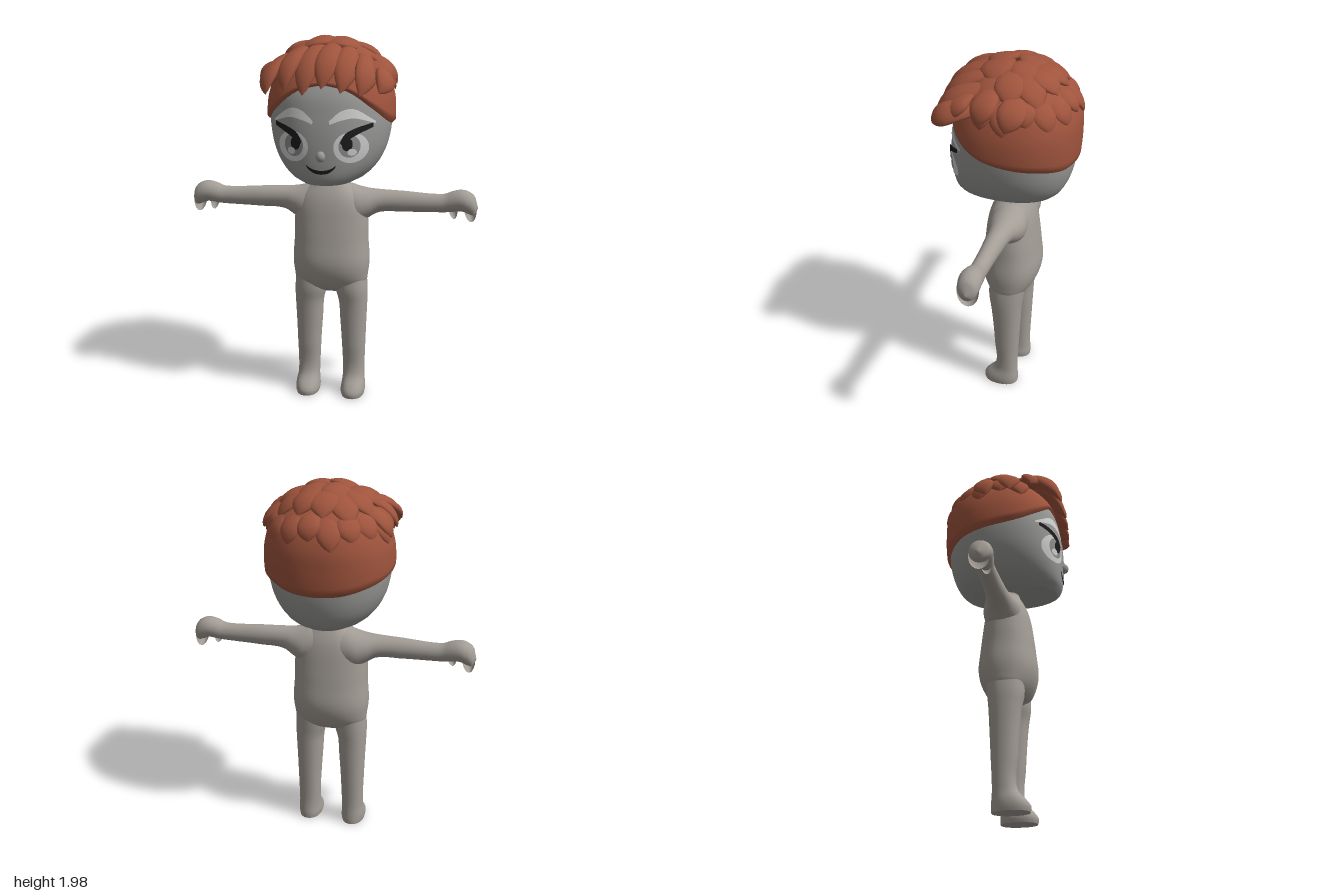
import * as THREE from 'three';

const V = (x, y, z) => new THREE.Vector3(x, y, z);
const paint = (name, color, side = THREE.FrontSide) => {
  const m = new THREE.MeshStandardMaterial({ color, side });
  m.name = name;
  return m;
};

// Skin a list of point rings (counter-clockwise about the direction of travel), capped at both ends
function loft(rings) {
  const n = rings[0].length, pos = [], idx = [];
  rings.forEach(r => r.forEach(p => pos.push(p.x, p.y, p.z)));
  for (let i = 0; i < rings.length - 1; i++) for (let j = 0; j < n; j++) {
    const a = i * n + j, b = i * n + (j + 1) % n;
    idx.push(a, b, a + n, b, b + n, a + n);
  }
  [rings[0], rings[rings.length - 1]].forEach((r, end) => {
    const base = pos.length / 3, c = V(0, 0, 0);
    r.forEach(p => { pos.push(p.x, p.y, p.z); c.addScaledVector(p, 1 / n); });
    pos.push(c.x, c.y, c.z);
    for (let j = 0; j < n; j++) {
      const k = (j + 1) % n;
      idx.push(base + n, base + (end ? j : k), base + (end ? k : j));
    }
  });
  const g = new THREE.BufferGeometry();
  g.setAttribute('position', new THREE.Float32BufferAttribute(pos, 3));
  g.setIndex(idx);
  g.computeVertexNormals();
  return g;
}
const mirrored = rings => rings.map(r => r.map(p => V(-p.x, p.y, p.z)).reverse());

// Smooth lookup in a table whose first column is the position
function smooth(table) {
  const f = new THREE.CubicInterpolant(table.map(r => r[0]), table.flatMap(r => r.slice(1)), table[0].length - 1);
  return t => Array.from(f.evaluate(t));
}
const pw = (v, e) => Math.sign(v) * Math.abs(v) ** e;
// Horizontal rounded ring between the given x and z limits
function yRing(y, x0, x1, zF, zB, n = 2.2, seg = 40) {
  return Array.from({ length: seg }, (_, i) => {
    const a = i / seg * Math.PI * 2;
    return V((x0 + x1) / 2 + (x1 - x0) / 2 * pw(Math.sin(a), 2 / n), y, (zF + zB) / 2 + (zF - zB) / 2 * pw(Math.cos(a), 2 / n));
  });
}
const range = (a, b, n) => Array.from({ length: n + 1 }, (_, i) => a + (b - a) * i / n);

// Height, half width, front z, back z
const HEAD_N = 2.25;
const headAt = smooth([
  [1.245, .14, .27, -.2], [1.27, .19, .292, -.245], [1.32, .243, .304, -.285], [1.4, .288, .31, -.315],
  [1.5, .313, .31, -.33], [1.6, .32, .3, -.335], [1.7, .308, .28, -.33], [1.8, .265, .225, -.29],
  [1.87, .195, .15, -.22], [1.91, .11, .07, -.13], [1.925, .01, 0, -.02]]);
function faceZ(x, y) {
  const [rx, f, b] = headAt(y);
  return (f + b) / 2 + (f - b) / 2 * Math.max(0, 1 - (Math.abs(x) / rx) ** HEAD_N) ** (1 / HEAD_N);
}

// Thin painted patch that follows the face; f maps u,v to x,y
function decal(f, lift, nu = 28, nv = 5) {
  const g = new THREE.PlaneGeometry(1, 1, nu, nv), p = g.attributes.position;
  for (let i = 0; i < p.count; i++) {
    const [x, y] = f(p.getX(i) + .5, p.getY(i) + .5);
    p.setXYZ(i, x, y, faceZ(x, y) + lift);
  }
  g.computeVertexNormals();
  return g;
}
const disc = (cx, cy, rx, ry) => (u, v) => [cx + rx * v * Math.cos(u * 2 * Math.PI), cy + ry * v * Math.sin(u * 2 * Math.PI)];
function band(upper, lower, s = 1) {
  const [a, b] = [upper, lower].map(l => new THREE.SplineCurve(l.map(q => new THREE.Vector2(...q))));
  return (u, v) => {
    const p = b.getPoint(u).lerp(a.getPoint(u), v);
    return [p.x * s, p.y];
  };
}

// Plump leaf-shaped lock of hair from root to tip, arched away from the head
const HAIR = V(0, 1.6, -.01);
function lock(root, tip, width, thick, arch) {
  const mid = root.clone().lerp(tip, .5);
  mid.addScaledVector(mid.clone().sub(HAIR).normalize(), arch);
  const curve = new THREE.QuadraticBezierCurve3(root, mid, tip);
  return loft(range(0, 1, 11).map(t => {
    const p = curve.getPoint(t), T = curve.getTangent(t);
    const N = p.clone().sub(HAIR);
    N.addScaledVector(T, -N.dot(T)).normalize();
    const S = N.clone().cross(T);
    const k = t < .55 ? .55 + .45 * Math.sin(t / .55 * Math.PI / 2) : Math.max(0, Math.cos((t - .55) / .45 * Math.PI / 2)) ** .75;
    return range(0, 2 * Math.PI, 12).slice(0, 12).map(a =>
      p.clone().addScaledVector(S, Math.cos(a) * width * k).addScaledVector(N, Math.sin(a) * thick * k));
  }));
}
// Points on the hair dome, by compass angle and tilt, or by x and z
function dome(deg, tilt, lift) {
  const a = deg * Math.PI / 180, t = tilt * Math.PI / 180;
  return V(Math.sin(t) * Math.sin(a) * (.325 + lift), Math.cos(t) * (.345 + lift), Math.sin(t) * Math.cos(a) * (.335 + lift)).add(HAIR);
}
const onTop = (x, z, lift) => V(x, 1.6 + lift + .345 * Math.sqrt(Math.max(0, 1 - (x / .335) ** 2 - (z / .35) ** 2)), z);

export function createModel() {
  const model = new THREE.Group();
  const skin = paint('body grey', 0xa39d96), face = paint('head grey', 0x989896), hair = paint('hair auburn', 0x9f543d);
  const white = paint('eye white', 0xd2d2d2, THREE.DoubleSide), iris = paint('iris grey', 0x8f8f8d, THREE.DoubleSide);
  const black = paint('lash black', 0x1c1c1c, THREE.DoubleSide);
  const add = (name, geo, mat, parent = model) => {
    const m = new THREE.Mesh(geo, mat);
    m.name = name;
    parent.add(m);
    return m;
  };
  const pair = (name, rings, mat) => {
    add('left' + name, loft(rings), mat);
    add('right' + name, loft(mirrored(rings)), mat);
  };

  // Torso and neck
  const torso = smooth([[.605, .07, .04], [.63, .15, .085], [.66, .19, .112], [.71, .202, .14], [.78, .209, .156], [.9, .202, .147],
    [1, .2, .135], [1.1, .19, .12], [1.15, .165, .106], [1.2, .11, .082], [1.23, .08, .065], [1.28, .07, .06]]);
  add('torso', loft(range(.605, 1.28, 36).map(y => {
    const [x, z] = torso(y);
    return yRing(y, -x, x, z, -z, 2.3);
  })), skin);

  // Legs with feet: height, inner x, outer x, front z, back z
  const leg = smooth([[.005, .066, .19, .128, -.064], [.03, .06, .195, .134, -.066], [.065, .064, .194, .112, -.064], [.1, .067, .188, .077, -.062],
    [.14, .067, .187, .061, -.062], [.3, .06, .191, .068, -.07], [.45, .05, .196, .078, -.078], [.55, .043, .2, .088, -.084],
    [.62, .025, .201, .1, -.092], [.7, .02, .195, .1, -.1]]);
  pair('Leg', range(.005, .7, 44).map(y => yRing(y, ...leg(y))), skin);

  // Arms with palms: x, top, bottom, half depth
  const arm = smooth([[0, 1.215, .98, .09], [.1, 1.207, .98, .1], [.15, 1.192, .99, .1], [.2, 1.182, 1.02, .085], [.25, 1.178, 1.05, .066],
    [.4, 1.172, 1.06, .05], [.55, 1.163, 1.064, .044], [.61, 1.166, 1.066, .045], [.65, 1.182, 1.07, .052], [.7, 1.19, 1.075, .058],
    [.74, 1.178, 1.06, .054], [.77, 1.146, 1.06, .038], [.782, 1.1, 1.09, .004]]);
  const tubeRing = (c, rx, ry, rz) => range(0, 2 * Math.PI, 28).slice(0, 28).map(a => V(c.x + rx * Math.cos(a), c.y + ry * Math.cos(a), c.z + rz * Math.sin(a)));
  pair('Arm', range(0, .782, 56).map(x => {
    const [t, b, z] = arm(x);
    return tubeRing(V(x, (t + b) / 2, -.012), 0, (t - b) / 2, z);
  }), skin);

  // Drooping fingers and thumb: tapered ovals along a short path
  const digit = (a, b, w, d) => range(0, 1, 14).map(t => {
    const k = Math.sqrt(Math.max(0, 1 - (2 * t - 1) ** 2));
    const c = a.clone().lerp(b, .5 - .5 * Math.cos(t * Math.PI));
    const s = Math.max(.02, Math.sin(t * Math.PI));
    return tubeRing(c, -w * s, 0, d * Math.max(s, k * .02));
  });
  pair('Fingers', digit(V(.735, 1.175, -.012), V(.75, 1.018, -.012), .034, .055), skin);
  pair('Thumb', digit(V(.645, 1.155, .005), V(.66, 1.036, .008), .024, .028), skin);

  // Head and nose
  add('head', loft(range(0, Math.PI / 2, 44).map(v => {
    const y = 1.245 + .68 * Math.sin(v), [x, f, b] = headAt(y);
    return yRing(y, -x, x, f, b, HEAD_N, 64);
  })), face);
  const nose = add('nose', new THREE.SphereGeometry(.024, 20, 14), face);
  nose.scale.set(1, 1.15, 1);
  nose.position.set(0, 1.402, .315);

  // Painted face
  for (const [side, s] of [['left', 1], ['right', -1]]) {
    add(side + 'EyeWhite', decal(disc(s * .148, 1.447, .084, .078), .003), white);
    add(side + 'Iris', decal(disc(s * .142, 1.455, .052, .058), .005), iris);
    add(side + 'EyeGlint', decal(disc(s * .155, 1.425, .022, .018), .007), white);
    add(side + 'Pupil', decal(disc(s * .132, 1.465, .026, .034), .007), black);
    add(side + 'Lash', decal(band([[.098, 1.475], [.125, 1.52], [.18, 1.548], [.25, 1.567]],
      [[.105, 1.462], [.145, 1.492], [.19, 1.518], [.252, 1.545]], s), .009), black);
    add(side + 'Brow', decal(band([[.04, 1.578], [.1, 1.628], [.17, 1.635], [.262, 1.572]],
      [[.045, 1.562], [.1, 1.582], [.17, 1.592], [.26, 1.562]], s), .003), white);
  }
  add('mouth', decal(band([[-.078, 1.358], [-.045, 1.338], [0, 1.33], [.045, 1.338], [.078, 1.358]],
    [[-.07, 1.343], [-.04, 1.318], [0, 1.31], [.04, 1.318], [.07, 1.343]]), .004), black);

  // Hair cap with an arched front hairline that drops towards the nape
  const SEG = 72;
  const hairline = smooth([[0, 1.75], [.4, 1.715], [.8, 1.635], [1.2, 1.565], [1.57, 1.53], [2.2, 1.5], [2.8, 1.465], [3.1416, 1.457]]);
  const cap = range(0, 1, 26).map((v, i) => Array.from({ length: SEG }, (_, j) => {
    const a = j / SEG * Math.PI * 2, y0 = hairline(a > Math.PI ? 2 * Math.PI - a : a)[0];
    const y = y0 + (1.925 - y0) * Math.sin(v * Math.PI / 2), [x, f, b] = headAt(y);
    const o = i ? .017 : -.006;
    const p = yRing(y, -x - o, x + o, f + o, b - o, HEAD_N, SEG)[j];
    p.y += i ? .01 * v : 0;
    return p;
  }));
  add('hairCap', loft(cap), hair);

  const locks = new THREE.Group();
  locks.name = 'hairLocks';
  model.add(locks);
  const tuft = (name, ...args) => add(name, lock(...args), hair, locks);
  // Pointed locks hanging round the back and sides
  range(72, 288, 11).forEach((a, i) => tuft('lowerLock', dome(a, 40, -.005), dome(a + 5, 70 + 4 * Math.sin(i * 2.3), .025), .062, .024, .045));
  range(95, 265, 6).forEach((a, i) => tuft('upperLock', dome(a, 12, 0), dome(a + 6, 50 + 4 * Math.sin(i * 1.9), .03), .075, .026, .055));
  // Overlapping locks swept sideways across the crown
  [-.17, -.06, .06, .18].forEach((x, i) => [-.1, .04].forEach((z, k) => {
    const w = .012 * Math.sin(i * 2.1 + k * 3);
    tuft('crownLock', onTop(x - .11, z + w, 0), onTop(x + .11, z - w + .02, .02), .088, .025, .055);
  }));
  // Side locks over the temples
  [-.1, .03, .15].forEach((z, i) => {
    tuft('leftSideLock', onTop(.19, z, .005), V(.338, 1.735 + .02 * i, z + .04), .07, .025, .06);
    tuft('rightSideLock', onTop(-.19, z, .005), V(-.333, 1.725 + .02 * i, z + .03), .062, .025, .06);
  });
  // Fringe combed forward over the brow
  range(-.275, .29, 6).forEach((x, i) => tuft('fringeLock', onTop(x * .78 + .03, .08, .005),
    V(x, 1.725 + .018 * Math.sin(i * 2.4) - .25 * x * x, .338 - .2 * x * x), .062, .03, .1));
  return model;
}
